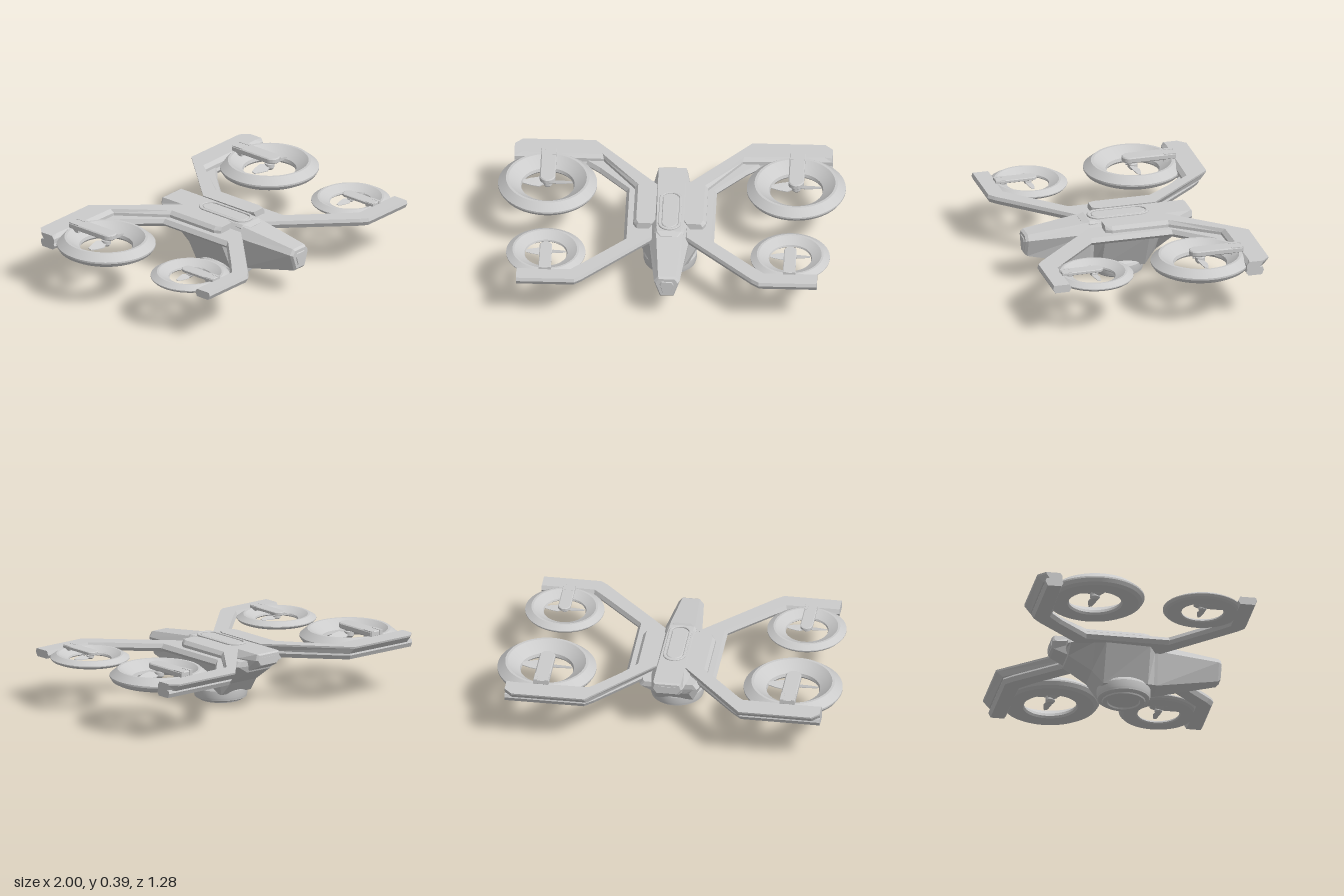
import * as THREE from 'three';
import { toCreasedNormals } from 'three/addons/utils/BufferGeometryUtils.js';

const material = new THREE.MeshStandardMaterial({ color: 0xcccccc });

function add(parent, name, geometry) {
  const mesh = new THREE.Mesh(geometry, material);
  mesh.name = name;
  parent.add(mesh);
  return mesh;
}

// Faceted skin over convex cross-sections of equal point count, with end caps
function loft(sections) {
  const tris = [];
  const n = sections[0].length;
  for (let s = 0; s < sections.length - 1; s++) {
    const a = sections[s], b = sections[s + 1];
    for (let i = 0; i < n; i++) {
      const j = (i + 1) % n;
      tris.push([a[i], b[i], b[j]], [a[i], b[j], a[j]]);
    }
  }
  const first = sections[0], last = sections[sections.length - 1];
  for (let i = 1; i < n - 1; i++) {
    tris.push([first[0], first[i], first[i + 1]], [last[0], last[i + 1], last[i]]);
  }
  // Turn the skin outward if its signed volume is negative
  const v = (p) => new THREE.Vector3(...p);
  const volume = tris.reduce((sum, [a, b, c]) => sum + v(a).dot(v(b).cross(v(c))), 0);
  const points = tris.flatMap((t) => (volume < 0 ? [t[0], t[2], t[1]] : t)).flat();
  const geometry = new THREE.BufferGeometry();
  geometry.setAttribute('position', new THREE.Float32BufferAttribute(points, 3));
  geometry.computeVertexNormals();
  return geometry;
}

// Arm swept through stations [innerX, innerZ, outerX, outerZ] with a profile of [across, y]
function sweepArm(stations, profile, side) {
  return loft(stations.map(([ax, az, bx, bz]) => profile.map(([t, y]) => [
    side * (ax + (bx - ax) * t), y, az + (bz - az) * t,
  ])));
}

// Hull along z from rows [z, then half-width/height pairs from bottom to top]
function hull(rows) {
  return loft(rows.map(([z, ...pairs]) => [
    ...pairs.map(([x, y]) => [x, y, z]),
    ...[...pairs].reverse().map(([x, y]) => [-x, y, z]),
  ]));
}

function lathe(points, segments = 64) {
  const profile = points.map(([r, y]) => new THREE.Vector2(r, y));
  return toCreasedNormals(new THREE.LatheGeometry(profile, segments), 0.45);
}

// Upright slab from a plan outline; shape y becomes -z
function slab(shape, y, height, bevel) {
  const geometry = new THREE.ExtrudeGeometry(shape, {
    depth: height - 2 * bevel, bevelEnabled: bevel > 0, bevelSize: bevel,
    bevelThickness: bevel, bevelOffset: -bevel, bevelSegments: 1, curveSegments: 16,
  });
  geometry.rotateX(-Math.PI / 2).translate(0, y + bevel, 0);
  return toCreasedNormals(geometry, 0.45);
}

function capsule(Type, r, half) {
  const path = new Type();
  path.absarc(0, half, r, 0, Math.PI, false);
  path.absarc(0, -half, r, Math.PI, 2 * Math.PI, false);
  path.closePath();
  return path;
}

// Ducted rotor, its motor bar reaching backward
function createRotor(name) {
  const rotor = new THREE.Group();
  rotor.name = name;
  add(rotor, 'duct', lathe([
    [0.15, 0.012], [0.158, 0], [0.25, 0], [0.272, 0.012], [0.285, 0.032], [0.285, 0.042],
    [0.24, 0.08], [0.225, 0.08], [0.2, 0.06], [0.155, 0.03], [0.15, 0.012],
  ]));

  const bar = new THREE.Shape();
  bar.moveTo(0.045, 0.245);
  bar.lineTo(-0.045, 0.245);
  bar.lineTo(-0.045, -0.02);
  bar.absarc(0, -0.02, 0.045, Math.PI, 2 * Math.PI, false);
  bar.closePath();
  add(rotor, 'motorBar', slab(bar, 0.076, 0.034, 0.006));
  for (const x of [-0.032, 0.032]) {
    add(rotor, 'barClip', new THREE.BoxGeometry(0.02, 0.05, 0.07).translate(x, 0.087, -0.212));
  }

  add(rotor, 'motor', lathe([
    [0, 0.02], [0.018, 0.024], [0.028, 0.036], [0.028, 0.06], [0.02, 0.064], [0.02, 0.08],
  ], 24));
  // Pitched blades taper away from the motor
  for (const side of [-1, 1]) {
    add(rotor, 'blade', loft([
      [0.015, 0.014, 0.004], [0.05, 0.03, 0.012], [0.1, 0.022, 0.008], [0.143, 0.01, 0.003],
    ].map(([x, w, pitch]) => [
      [side * x, 0.045 - side * pitch, -w], [side * x, 0.05 - side * pitch, -w],
      [side * x, 0.05 + side * pitch, w], [side * x, 0.045 + side * pitch, w],
    ])));
  }
  return rotor;
}

export function createModel() {
  const model = new THREE.Group();
  model.name = 'quadrotorDrone';

  // Fuselage: flared belly and long spine from nose to tail
  const belly = [
    [0.18, 0.085, 0.085, 0.12], [0.14, 0.075, 0.11, 0.2], [-0.12, 0.06, 0.11, 0.215],
    [-0.185, 0.14, 0.095, 0.2], [-0.32, 0.23, 0.085, 0.17], [-0.335, 0.27, 0.08, 0.16],
  ];
  add(model, 'belly', hull(belly.map(([z, y, bottom, top]) => [z, [bottom, y], [top, 0.275], [top - 0.02, 0.305]])));
  add(model, 'spine', hull([
    [0.578, [0.035, 0.175], [0.064, 0.26], [0.045, 0.288]],
    [0.562, [0.04, 0.16], [0.074, 0.265], [0.05, 0.297]],
    [0.2, [0.08, 0.085], [0.115, 0.285], [0.075, 0.343]],
    [0.1, [0.08, 0.1], [0.115, 0.3], [0.075, 0.352]],
    [-0.27, [0.085, 0.215], [0.11, 0.31], [0.08, 0.352]],
    [-0.4, [0.065, 0.275], [0.09, 0.315], [0.08, 0.352]],
    [-0.412, [0.06, 0.285], [0.08, 0.315], [0.07, 0.345]],
  ]));
  add(model, 'noseSensor', hull([
    [0.57, [0.028, 0.19], [0.045, 0.25], [0.034, 0.275]],
    [0.583, [0.022, 0.198], [0.037, 0.248], [0.028, 0.267]],
  ]));
  add(model, 'tailVent', new THREE.BoxGeometry(0.1, 0.03, 0.02).translate(0, 0.316, -0.405));

  // Canopy: a raised housing with a framed capsule window
  add(model, 'canopyHousing', hull([
    [0.24, [0.06, 0.3], [0.055, 0.335], [0.045, 0.34]],
    [0.2, [0.085, 0.3], [0.085, 0.335], [0.07, 0.35]],
    [-0.18, [0.085, 0.3], [0.085, 0.335], [0.07, 0.352]],
    [-0.22, [0.075, 0.3], [0.075, 0.335], [0.06, 0.35]],
  ]));
  const frame = capsule(THREE.Shape, 0.065, 0.118);
  frame.holes.push(capsule(THREE.Path, 0.05, 0.115));
  add(model, 'canopyFrame', slab(frame, 0.34, 0.02, 0.003)).position.z = 0.01;
  add(model, 'canopyWindow', slab(capsule(THREE.Shape, 0.046, 0.112), 0.34, 0.017, 0.004)).position.z = 0.01;

  // Camera turret below the belly
  add(model, 'cameraTurret', lathe([
    [0, 0.008], [0.09, 0.008], [0.095, 0], [0.122, 0], [0.126, 0.008], [0.138, 0.01], [0.15, 0.018],
    [0.152, 0.028], [0.154, 0.034], [0.155, 0.075], [0.148, 0.09], [0.12, 0.108], [0.07, 0.125], [0, 0.132],
  ])).position.z = 0.018;

  // Side rails run from the rear tips past the fuselage to the front tips
  const rail = [
    [0.915, -0.605, 0.915, -0.5], [0.45, -0.605, 0.5, -0.49], [0.4, -0.56, 0.42, -0.42],
    [0.09, -0.22, 0.26, -0.245], [0.09, 0.21, 0.26, 0.24], [0.49, 0.61, 0.49, 0.465],
    [0.53, 0.64, 0.56, 0.53], [0.865, 0.64, 0.865, 0.53],
  ];
  const railProfile = [[0.12, 0.272], [0.88, 0.272], [1, 0.293], [0.9, 0.318], [0.06, 0.318], [0, 0.298]];
  // Thicker upper arms stiffen the rear half
  const upper = [
    [0.915, -0.6, 0.915, -0.505], [0.87, -0.645, 0.87, -0.505], [0.45, -0.645, 0.4, -0.495],
    [0.082, -0.235, 0.21, -0.235], [0.082, 0.1, 0.21, 0.1], [0.1, 0.137, 0.19, 0.137],
  ];
  const upperProfile = [[0.25, 0.31], [1, 0.31], [1, 0.335], [0.86, 0.356], [0, 0.356], [0.02, 0.345]];

  for (const side of [-1, 1]) {
    const prefix = side > 0 ? 'left' : 'right';
    add(model, prefix + 'Rail', sweepArm(rail, railProfile, side));
    add(model, prefix + 'RearArm', sweepArm(upper, upperProfile, side));

    const rear = createRotor(prefix + 'RearRotor');
    rear.position.set(side * 0.715, 0.275, -0.28);
    model.add(rear);

    const front = createRotor(prefix + 'FrontRotor');
    front.position.set(side * 0.703, 0.272, 0.35);
    front.rotation.y = Math.PI;
    front.scale.set(0.8, 0.56, 0.8);
    model.add(front);
  }
  return model;
}
